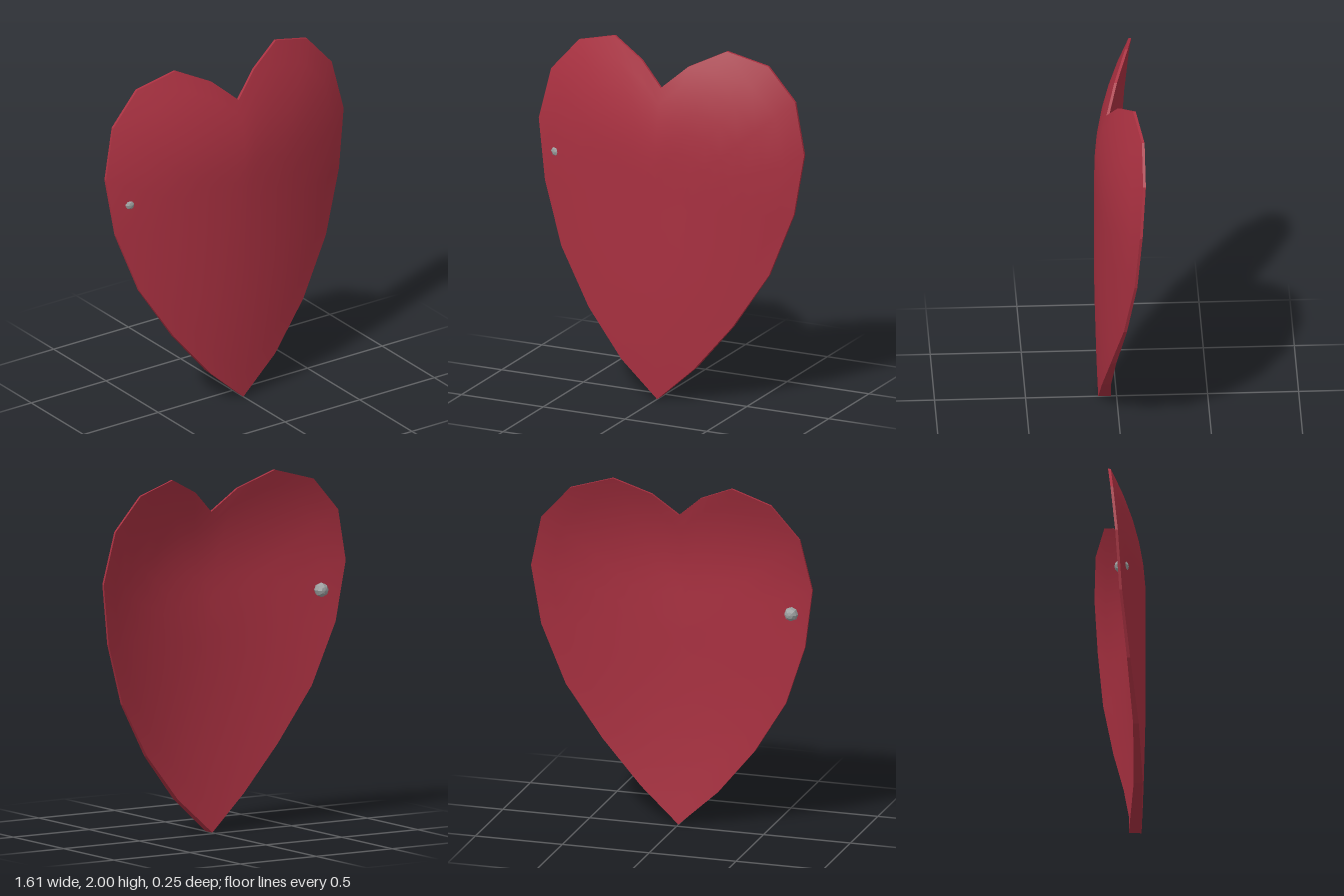
import * as THREE from 'three';

// Right half of the heart outline, from the notch round to the tip
const HALF = [[0, 1.78], [0.14, 1.905], [0.34, 2], [0.575, 1.935], [0.74, 1.75], [0.805, 1.46],
  [0.755, 1.12], [0.63, 0.77], [0.435, 0.46], [0.22, 0.2], [0, 0]];
const OUTLINE = [...HALF, ...HALF.slice(1, -1).reverse().map(([x, y]) => [-x, y])];
const N = OUTLINE.length, RINGS = 8, CENTRE_Y = 1.1;

// Bowed front surface: bends back to the sides and at the lobes, slightly at the tip
const frontZ = (x, y) => 0.12 - 0.3 * x * x - 0.016 * x
  - 0.4 * Math.max(0, y - 1.38) ** 2 - 0.03 * Math.max(0, 0.8 - y) ** 2;

// Thin rim, thicker in the middle and towards the tip
const thickness = (y, s) => 0.015 + 0.055 * Math.max(0, 1 - y) ** 2 + 0.02 * (1 - s * s);

function point(i, s, back) {
  const [ox, oy] = OUTLINE[i % N];
  const x = ox * s, y = CENTRE_Y + (oy - CENTRE_Y) * s;
  return [x, y, frontZ(x, y) - (back ? thickness(y, s) : 0)];
}

function build(positions, index) {
  const g = new THREE.BufferGeometry();
  g.setAttribute('position', new THREE.Float32BufferAttribute(positions, 3));
  g.setIndex(index);
  return g;
}

// One face of the heart as concentric rings around a centre point
function sheet(back) {
  const pos = [...point(0, 0, back)], idx = [];
  const tri = (a, b, c) => (back ? idx.push(a, c, b) : idx.push(a, b, c));
  for (let r = 1; r <= RINGS; r++) {
    for (let i = 0; i < N; i++) pos.push(...point(i, r / RINGS, back));
  }
  const at = (r, i) => 1 + (r - 1) * N + (i % N);
  for (let i = 0; i < N; i++) {
    tri(0, at(1, i + 1), at(1, i));
    for (let r = 1; r < RINGS; r++) {
      tri(at(r, i), at(r, i + 1), at(r + 1, i));
      tri(at(r, i + 1), at(r + 1, i + 1), at(r + 1, i));
    }
  }
  const g = build(pos, idx);
  g.computeVertexNormals();
  return g;
}

// Straight-sided edge joining the two faces
function rim() {
  const pos = [], idx = [];
  for (let i = 0; i < N; i++) {
    const k = i * 4;
    pos.push(...point(i, 1, false), ...point(i + 1, 1, false), ...point(i, 1, true), ...point(i + 1, 1, true));
    idx.push(k, k + 1, k + 2, k + 1, k + 3, k + 2);
  }
  const g = build(pos, idx);
  g.computeVertexNormals();
  return g;
}

export function createModel() {
  const group = new THREE.Group();
  const red = new THREE.MeshStandardMaterial({ color: 0xa83040 });
  red.name = 'heart red';
  const grey = new THREE.MeshStandardMaterial({ color: 0x9c9f9f, flatShading: true });
  grey.name = 'stud grey';

  const add = (name, geometry, material) => {
    const mesh = new THREE.Mesh(geometry, material);
    mesh.name = name;
    group.add(mesh);
    return mesh;
  };
  add('frontFace', sheet(false), red);
  add('backFace', sheet(true), red);
  add('rim', rim(), red);

  // Small stud near one edge, mostly on the back
  const stud = add('stud', new THREE.SphereGeometry(0.04, 8, 6), grey);
  stud.rotation.x = Math.PI / 2;
  stud.position.set(-0.672, 1.3, frontZ(-0.672, 1.3) - 0.033);
  return group;
}
